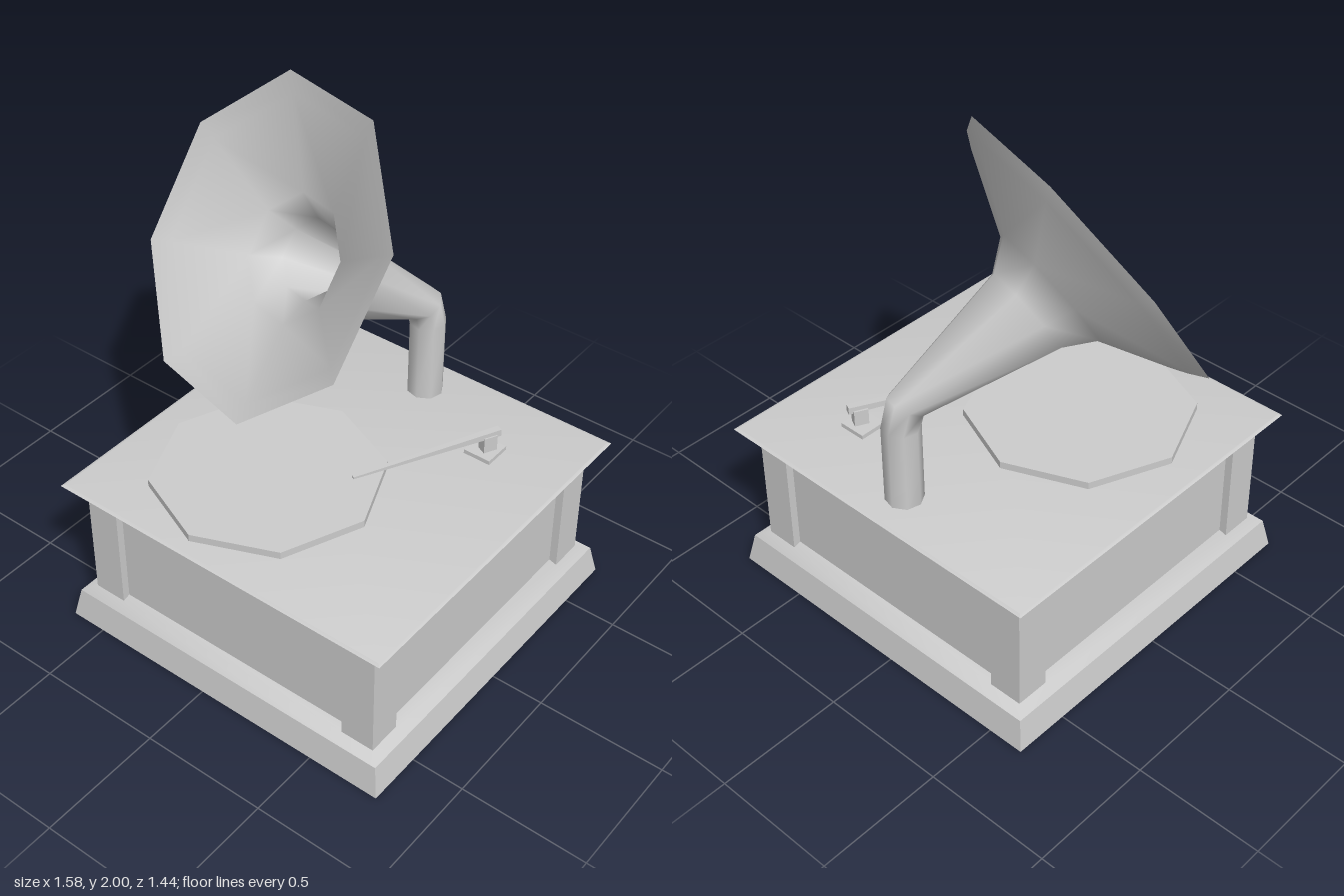
import * as THREE from 'three';
import { toCreasedNormals } from 'three/addons/utils/BufferGeometryUtils.js';

const material = new THREE.MeshStandardMaterial({ color: 0xcccccc });
const CABINET_X = 0.073;

function part(parent, name, geometry, x = 0, y = 0, z = 0) {
  const mesh = new THREE.Mesh(geometry, material);
  mesh.name = name;
  mesh.position.set(x, y, z);
  parent.add(mesh);
  return mesh;
}

// Square moulding: profile of [half width, height], bottom to top
function squareMoulding(profile, crease) {
  const points = profile.map(([h, y]) => new THREE.Vector2(h * Math.SQRT2, y));
  const geometry = new THREE.LatheGeometry(points, 4).rotateY(Math.PI / 4);
  return toCreasedNormals(geometry, crease);
}

// Horn frame: axis leaves the mouth, U and V span the octagonal rim
const AXIS = new THREE.Vector3(-0.252, 0.523, 0.814).normalize();
const U = new THREE.Vector3(0.29, 0.493, -0.227).normalize();
const V = new THREE.Vector3().crossVectors(AXIS, U).normalize();
const SIDES = 8;

// Loft of octagonal rings, each { c: centre, r: radius, n: direction }
function loftRings(rings, inward) {
  const positions = [], index = [];
  for (const { c, r, n } of rings) {
    const dir = n ? new THREE.Vector3(...n).normalize() : AXIS;
    const turn = new THREE.Quaternion().setFromUnitVectors(AXIS, dir);
    for (let k = 0; k < SIDES; k++) {
      const a = (k / SIDES) * Math.PI * 2;
      const p = U.clone().multiplyScalar(r * Math.cos(a)).addScaledVector(V, r * Math.sin(a));
      p.applyQuaternion(turn);
      positions.push(p.x + c[0], p.y + c[1], p.z + c[2]);
    }
  }
  for (let i = 0; i < rings.length - 1; i++) {
    for (let k = 0; k < SIDES; k++) {
      const a = i * SIDES + k, b = i * SIDES + (k + 1) % SIDES;
      const c = a + SIDES, d = b + SIDES;
      if (inward) index.push(a, d, b, a, c, d);
      else index.push(a, b, d, a, d, c);
    }
  }
  const geometry = new THREE.BufferGeometry();
  geometry.setAttribute('position', new THREE.Float32BufferAttribute(positions, 3));
  geometry.setIndex(index);
  geometry.computeVertexNormals();
  return geometry;
}

function buildCabinet() {
  const cabinet = new THREE.Group();
  cabinet.name = 'cabinet';
  cabinet.position.x = CABINET_X;
  part(cabinet, 'plinth', squareMoulding(
    [[0, 0], [0.718, 0], [0.695, 0.12], [0.65, 0.138], [0.61, 0.15], [0, 0.15]], 1.0));
  part(cabinet, 'sidePanels', new THREE.BoxGeometry(1.24, 0.5, 1.24), 0, 0.38, 0);
  for (const sx of [-1, 1]) {
    for (const sz of [-1, 1]) {
      part(cabinet, 'cornerPost', new THREE.BoxGeometry(0.135, 0.5, 0.135), sx * 0.583, 0.38, sz * 0.583);
    }
  }
  part(cabinet, 'lid', squareMoulding(
    [[0, 0.62], [0.695, 0.62], [0.717, 0.645], [0.705, 0.65], [0, 0.65]], 0.5));
  return cabinet;
}

function buildTonearm() {
  const tonearm = new THREE.Group();
  tonearm.name = 'tonearm';
  part(tonearm, 'tonearmBase', new THREE.BoxGeometry(0.112, 0.018, 0.112), 0.45, 0.658, -0.385);
  const swing = Math.atan2(-0.265, 0.54);
  part(tonearm, 'tonearmPost', new THREE.BoxGeometry(0.04, 0.07, 0.055), 0.459, 0.697, -0.388).rotation.y = swing;
  // Arm tapers in width and height towards the needle end
  const arm = new THREE.BoxGeometry(0.028, 0.028, 0.6).translate(0, 0, 0.3);
  const pos = arm.attributes.position;
  for (let i = 0; i < pos.count; i++) {
    if (pos.getZ(i) > 0.3) pos.setXYZ(i, pos.getX(i) * 0.5, pos.getY(i) * 0.3 - 0.001, pos.getZ(i));
  }
  arm.computeVertexNormals();
  part(tonearm, 'arm', arm, 0.48, 0.736, -0.428).rotation.y = swing;
  return tonearm;
}

function buildHorn() {
  const horn = new THREE.Group();
  horn.name = 'horn';
  const rim = { c: [-0.22, 1.507, 0.057], r: 0.615 };
  const up = [0, 1, 0];
  // Upright pipe, elbow, widening neck, then the flared bell
  part(horn, 'hornOuter', loftRings([
    { c: [0.055, 0.645, -0.557], r: 0.071, n: up },
    { c: [0.055, 0.97, -0.557], r: 0.071, n: up },
    { c: [0.045, 1.055, -0.54], r: 0.073, n: [-0.15, 0.86, 0.5] },
    { c: [-0.15, 1.335, -0.15], r: 0.18 },
    { c: [-0.18, 1.4, -0.07], r: 0.255 },
    { c: [-0.211, 1.489, 0.029], r: 0.55 },
    rim,
  ], false));
  part(horn, 'hornInner', loftRings([
    { c: [0.055, 0.655, -0.557], r: 0.05, n: up },
    { c: [0.055, 0.97, -0.557], r: 0.05, n: up },
    { c: [0.045, 1.055, -0.54], r: 0.05, n: [-0.15, 0.86, 0.5] },
    { c: [-0.165, 1.375, -0.138], r: 0.148 },
    { c: [-0.182, 1.415, -0.055], r: 0.235 },
    { c: [-0.21, 1.494, 0.037], r: 0.54 },
    rim,
  ], true));
  return horn;
}

export function createModel() {
  const model = new THREE.Group();
  model.name = 'gramophone';
  model.add(buildCabinet(), buildTonearm(), buildHorn());
  // Octagonal turntable
  const platter = new THREE.CylinderGeometry(0.435, 0.435, 0.032, 8);
  part(model, 'turntable', toCreasedNormals(platter, 0.5), -0.085, 0.663, 0.217);
  return model;
}
